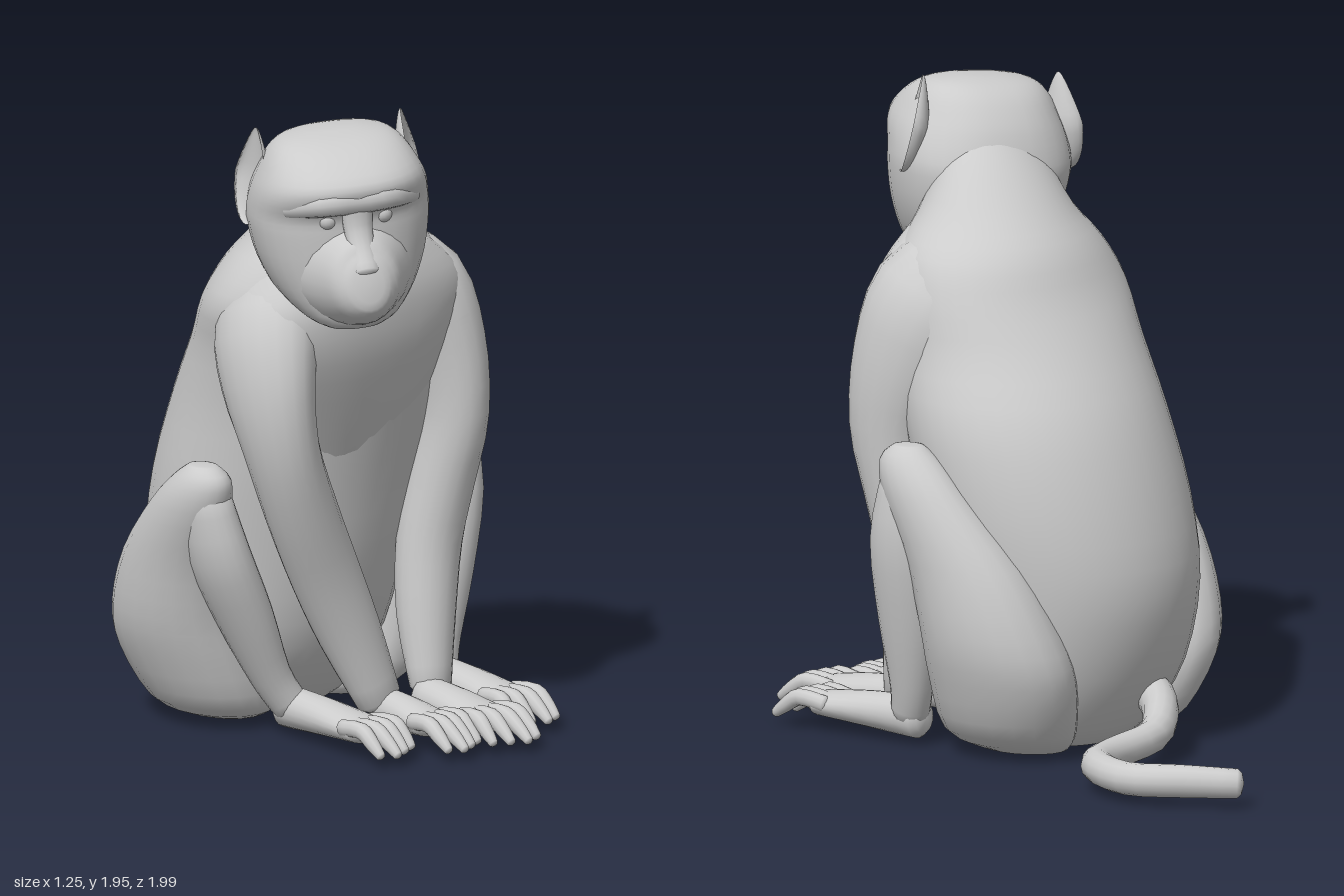
import * as THREE from 'three';

const material = new THREE.MeshStandardMaterial({ color: 0xcccccc, roughness: 0.8 });
const X = new THREE.Vector3(1, 0, 0), Y = new THREE.Vector3(0, 1, 0);

// Catmull-Rom resampling of rows of numbers
function resample(rows, sub) {
  const out = [], n = rows.length;
  for (let i = 0; i < n - 1; i++) {
    const [a, b, c, d] = [rows[Math.max(i - 1, 0)], rows[i], rows[i + 1], rows[Math.min(i + 2, n - 1)]];
    for (let s = 0; s < sub; s++) {
      const t = s / sub;
      out.push(b.map((_, k) => b[k] + 0.5 * t * (c[k] - a[k]
        + t * (2 * a[k] - 5 * b[k] + 4 * c[k] - d[k] + t * (3 * (b[k] - c[k]) + d[k] - a[k])))));
    }
  }
  out.push(rows[n - 1]);
  return out;
}

// Skin over rows [x, y, z, radius along ref, other radius]; rings face the path, or dir if given
function sweep(rows, { ref = X, dir = null, cap = 0.5, power = 2, seg = 20, sub = 3 } = {}) {
  const r = resample(rows, sub), pos = [], index = [];
  const point = q => new THREE.Vector3(q[0], q[1], q[2]);
  const frame = i => dir || point(r[Math.min(i + 1, r.length - 1)]).sub(point(r[Math.max(i - 1, 0)])).normalize();
  const sp = t => Math.sign(t) * Math.abs(t) ** (2 / power);
  const ring = (q, d, scale, shift) => {
    const v = ref.clone().addScaledVector(d, -ref.dot(d)).normalize();
    const u = v.clone().cross(d);
    const c = point(q).addScaledVector(d, shift);
    for (let k = 0; k < seg; k++) {
      const a = k / seg * Math.PI * 2;
      pos.push(...c.clone().addScaledVector(u, sp(Math.cos(a)) * q[4] * scale)
        .addScaledVector(v, sp(Math.sin(a)) * q[3] * scale).toArray());
    }
  };
  const last = r.length - 1, e0 = r[0][4] * cap, e1 = r[last][4] * cap;
  ring(r[0], frame(0), 0.72, -e0 * 0.65);
  r.forEach((q, i) => ring(q, frame(i), 1, 0));
  ring(r[last], frame(last), 0.72, e1 * 0.65);
  const rings = r.length + 2, start = rings * seg;
  pos.push(...point(r[0]).addScaledVector(frame(0), -e0).toArray());
  pos.push(...point(r[last]).addScaledVector(frame(last), e1).toArray());
  for (let k = 0; k < seg; k++) {
    const n = (k + 1) % seg, top = (rings - 1) * seg;
    for (let j = 0; j < rings - 1; j++) {
      const a = j * seg, b = a + seg;
      index.push(a + k, a + n, b + n, a + k, b + n, b + k);
    }
    index.push(start, n, k, start + 1, top + k, top + n);
  }
  const g = new THREE.BufferGeometry();
  g.setAttribute('position', new THREE.Float32BufferAttribute(pos, 3));
  g.setIndex(index);
  g.computeVertexNormals();
  return g;
}

// Horizontal slices [y, centre x, half width, back z, front z]
const slices = (rows, opts = {}) => sweep(
  rows.map(([y, x, w, b, f]) => [x, y, (b + f) / 2, w, (f - b) / 2]), { dir: Y, cap: 0.08, ...opts });

function add(parent, name, geometry) {
  const m = new THREE.Mesh(geometry, material);
  m.name = name;
  parent.add(m);
  return m;
}

// Hand or foot: flat palm, four arched digits and a thumb on the inner side
function paw(parent, name, x, heel, knuckle, tip, w, inner, yaw = 0) {
  const g = new THREE.Group();
  g.name = name;
  g.position.set(x, 0, heel);
  g.rotation.y = yaw;
  const k = knuckle - heel, t = tip - heel;
  add(g, 'palm', sweep([[0, 0.09, 0, w * 0.7, 0.065], [0, 0.09, k * 0.5, w * 0.85, 0.055], [0, 0.085, k, w, 0.038]]));
  for (let i = 0; i < 4; i++) {
    const s = (i - 1.5) / 1.5, end = t - 0.01 - 0.035 * Math.abs(s + inner * 0.3);
    add(g, 'digit', sweep([
      [s * w * 0.75, 0.095, k * 0.88, 0.023, 0.026], [s * w * 0.83, 0.105, k + (end - k) * 0.35, 0.024, 0.026],
      [s * w * 0.87, 0.075, k + (end - k) * 0.72, 0.021, 0.023], [s * w * 0.88, 0.045, end, 0.014, 0.015]], { seg: 10 }));
  }
  add(g, 'thumb', sweep([[inner * w * 0.5, 0.07, k * 0.45, 0.028, 0.028],
    [inner * w * 0.95, 0.06, k * 0.75, 0.024, 0.024], [inner * w * 1.05, 0.035, k * 1.05, 0.015, 0.015]], { seg: 10 }));
  parent.add(g);
}

function buildHead() {
  const head = new THREE.Group();
  head.name = 'head';
  head.position.set(-0.2, 1.65, 0.5);
  head.rotation.set(0, -0.47, 0.07, 'YXZ');
  add(head, 'skull', slices([
    [-0.3, 0, 0.09, 0.06, 0.25], [-0.27, 0, 0.14, 0, 0.28], [-0.2, 0, 0.205, -0.13, 0.29],
    [-0.1, 0, 0.25, -0.18, 0.295], [0, 0, 0.27, -0.2, 0.3], [0.06, 0, 0.27, -0.19, 0.305],
    [0.12, 0, 0.26, -0.17, 0.345], [0.17, 0, 0.24, -0.145, 0.345], [0.23, 0, 0.205, -0.1, 0.27],
    [0.265, 0, 0.16, -0.05, 0.19], [0.28, 0, 0.09, 0, 0.12]], { power: 2.3, seg: 32 }));
  add(head, 'muzzle', sweep([
    [0, -0.12, 0.08, 0.23, 0.185], [0, -0.125, 0.23, 0.175, 0.17], [0, -0.13, 0.31, 0.13, 0.145],
    [0, -0.13, 0.365, 0.1, 0.115], [0, -0.125, 0.395, 0.065, 0.08]], { cap: 0.15, seg: 24 }));
  add(head, 'noseBridge', sweep([
    [0, 0.13, 0.31, 0.05, 0.03], [0, 0.04, 0.305, 0.045, 0.035], [0, -0.03, 0.335, 0.04, 0.03],
    [0, -0.09, 0.385, 0.04, 0.025]], { seg: 14 }));
  add(head, 'brow', sweep([
    [-0.19, 0.09, 0.225, 0.03, 0.03], [-0.1, 0.115, 0.305, 0.04, 0.04], [0, 0.115, 0.315, 0.04, 0.035],
    [0.1, 0.115, 0.305, 0.04, 0.04], [0.19, 0.09, 0.225, 0.03, 0.03]], { ref: Y, seg: 14 }));
  add(head, 'lowerLip', sweep([
    [-0.08, -0.205, 0.31, 0.02, 0.02], [0, -0.19, 0.38, 0.025, 0.018], [0.08, -0.205, 0.31, 0.02, 0.02]], { ref: Y, seg: 12 }));
  for (const s of [-1, 1]) {
    add(head, 'eye', new THREE.SphereGeometry(0.03, 16, 12)).position.set(s * 0.085, 0.055, 0.275);
    // Pointed, cupped ear
    const ear = new THREE.SphereGeometry(1, 20, 16), p = ear.attributes.position;
    for (let i = 0; i < p.count; i++) {
      const x = p.getX(i), y = p.getY(i), z = p.getZ(i);
      const taper = y > 0 ? 1 - 0.55 * y : 1;
      const hollow = z > 0 ? -0.5 * z : z;
      p.setXYZ(i, s * x * 0.08 * taper, y * 0.15, hollow * 0.055 * taper);
    }
    if (s < 0) ear.setIndex(Array.from(ear.index.array).reverse());
    ear.computeVertexNormals();
    const m = add(head, 'ear', ear);
    m.position.set(s * 0.25, 0.145, 0.01);
    m.rotation.set(0, s * 1.2, s * 0.18, 'ZYX');
  }
  return head;
}

export function createModel() {
  const model = new THREE.Group();
  model.name = 'sittingMonkey';

  add(model, 'torso', slices([
    [0.02, 0, 0.16, -0.12, 0.15], [0.08, -0.02, 0.27, -0.19, 0.22], [0.25, -0.03, 0.36, -0.29, 0.33],
    [0.5, -0.02, 0.4, -0.35, 0.41], [0.75, -0.01, 0.425, -0.31, 0.47], [1, -0.01, 0.42, -0.22, 0.54],
    [1.2, -0.05, 0.395, -0.1, 0.6], [1.35, -0.08, 0.395, 0, 0.62], [1.47, -0.08, 0.345, 0.07, 0.62],
    [1.57, -0.1, 0.25, 0.16, 0.6], [1.7, -0.14, 0.18, 0.28, 0.57], [1.79, -0.17, 0.11, 0.38, 0.55]], { seg: 40 }));
  add(model, 'chest', slices([
    [0.8, -0.04, 0.16, 0.2, 0.46], [1, -0.06, 0.26, 0.2, 0.545], [1.2, -0.08, 0.36, 0.21, 0.615],
    [1.33, -0.08, 0.405, 0.2, 0.635], [1.43, -0.08, 0.36, 0.2, 0.63], [1.53, -0.1, 0.25, 0.24, 0.6]], { power: 2.5, seg: 32 }));
  model.add(buildHead());

  // Arms reach down between the knees
  add(model, 'leftArm', sweep([
    [0.08, 1.43, 0.33, 0.1, 0.16], [0.2, 1.33, 0.39, 0.14, 0.2], [0.255, 1.15, 0.45, 0.12, 0.175],
    [0.27, 0.95, 0.49, 0.1, 0.135], [0.25, 0.75, 0.47, 0.1, 0.11], [0.22, 0.55, 0.45, 0.1, 0.1],
    [0.19, 0.33, 0.47, 0.09, 0.09], [0.165, 0.12, 0.52, 0.065, 0.06]]));
  add(model, 'rightArm', sweep([
    [-0.24, 1.41, 0.33, 0.11, 0.16], [-0.365, 1.3, 0.39, 0.14, 0.19], [-0.415, 1.14, 0.45, 0.12, 0.17],
    [-0.4, 0.95, 0.49, 0.105, 0.13], [-0.32, 0.74, 0.49, 0.11, 0.11], [-0.22, 0.53, 0.48, 0.11, 0.1],
    [-0.13, 0.33, 0.49, 0.1, 0.09], [-0.05, 0.12, 0.53, 0.075, 0.06]]));

  // Folded legs, the right one lower and wider
  const thigh = [
    [0.02, 0.2, 0.11, -0.11, 0.17], [0.08, 0.25, 0.17, -0.17, 0.26], [0.25, 0.31, 0.185, -0.22, 0.27],
    [0.4, 0.35, 0.18, -0.19, 0.27], [0.6, 0.39, 0.145, -0.09, 0.3], [0.8, 0.43, 0.1, 0.08, 0.37],
    [0.9, 0.43, 0.075, 0.18, 0.385], [0.945, 0.43, 0.04, 0.24, 0.34]];
  add(model, 'leftThigh', slices(thigh));
  add(model, 'rightThigh', slices(thigh.map(([y, x, ...r]) => [y * 0.93, -(x + 0.03 + 0.08 * y), ...r])));
  const shinSizes = [[0.3, 0.07, 0.08], [0.31, 0.085, 0.11], [0.32, 0.08, 0.1], [0.335, 0.06, 0.07], [0.36, 0.055, 0.06]];
  const shin = path => sweep(path.map((p, i) => [...p, ...shinSizes[i]]));
  add(model, 'leftShin', shin([[0.43, 0.84], [0.43, 0.65], [0.39, 0.4], [0.36, 0.2], [0.335, 0.1]]));
  add(model, 'rightShin', shin([[-0.53, 0.78], [-0.49, 0.6], [-0.4, 0.4], [-0.31, 0.2], [-0.25, 0.1]]));

  paw(model, 'leftHand', 0.14, 0.53, 0.81, 0.995, 0.085, -1, -0.03);
  paw(model, 'rightHand', -0.035, 0.53, 0.76, 0.945, 0.075, 1);
  paw(model, 'leftFoot', 0.33, 0.33, 0.69, 0.865, 0.08, -1, -0.02);
  paw(model, 'rightFoot', -0.24, 0.33, 0.69, 0.865, 0.08, 1, 0.02);

  // Tail curls along the ground
  add(model, 'tail', sweep([
    [-0.08, 0.17, -0.24, 0.06, 0.06], [0, 0.14, -0.33, 0.06, 0.055], [0.14, 0.1, -0.41, 0.05, 0.05],
    [0.34, 0.08, -0.415, 0.05, 0.048], [0.49, 0.08, -0.48, 0.05, 0.05], [0.575, 0.08, -0.66, 0.05, 0.05],
    [0.525, 0.085, -0.82, 0.05, 0.046], [0.425, 0.08, -0.965, 0.045, 0.04]], { ref: Y, seg: 14 }));
  return model;
}
